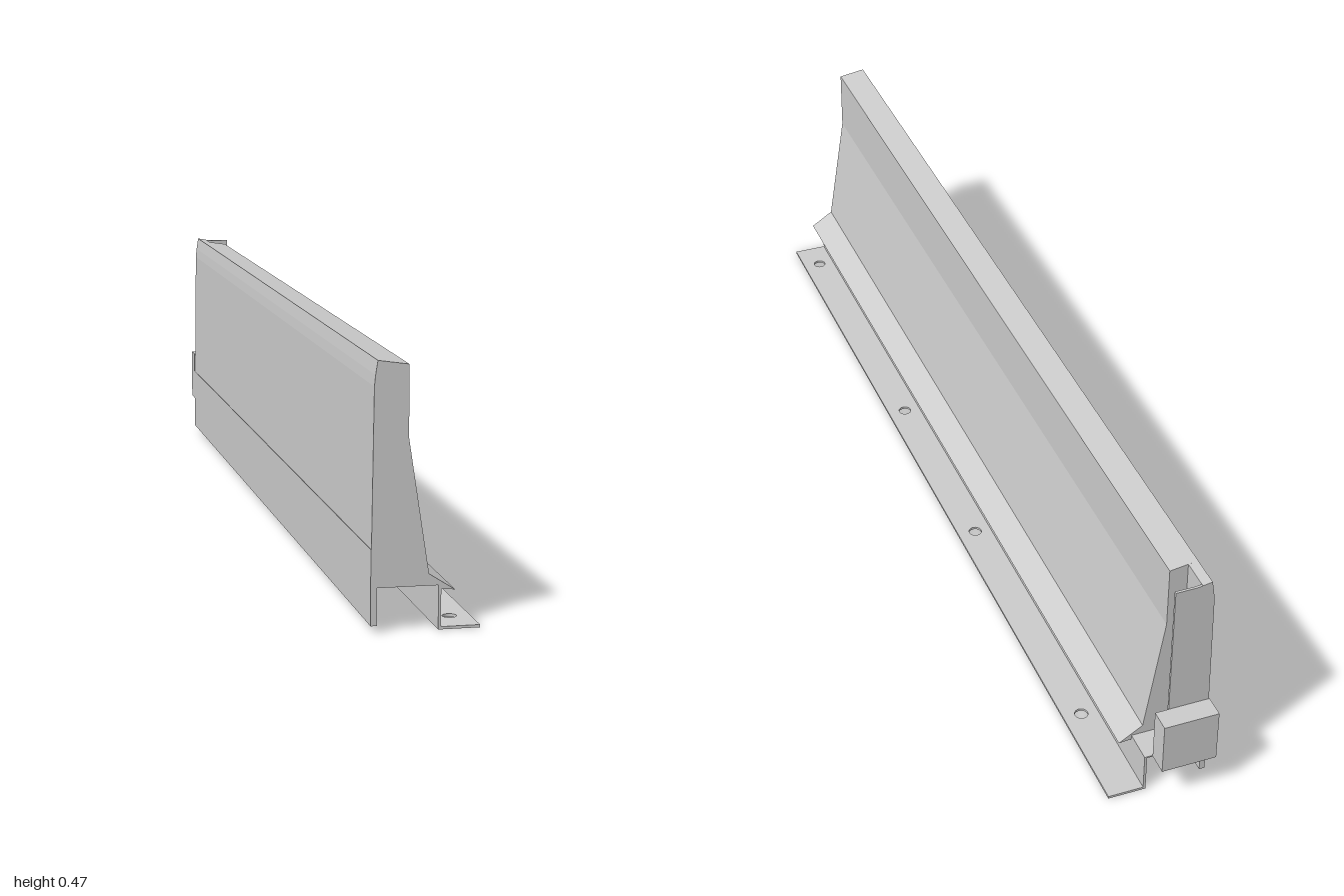
import * as THREE from 'three';

const FRONT = 1, NOTCH = -0.895, END = -0.957, BACK = -1;

export function createModel() {
  const group = new THREE.Group();
  const material = new THREE.MeshStandardMaterial({ color: 0xcccccc, flatShading: true });

  const add = (name, geometry) => {
    const mesh = new THREE.Mesh(geometry, material);
    mesh.name = name;
    group.add(mesh);
    return mesh;
  };
  // Extrudes an x/y outline between two z positions
  const profile = (name, points, z0, z1) => {
    const shape = new THREE.Shape(points.map(([x, y]) => new THREE.Vector2(x, y)));
    const geometry = new THREE.ExtrudeGeometry(shape, { depth: z1 - z0, bevelEnabled: false });
    return add(name, geometry.translate(0, 0, z0));
  };

  // Gently bowed outer face, from the top edge down to the skirt
  const outerFace = [[-0.087, 0.475], [-0.091, 0.45], [-0.093, 0.43], [-0.095, 0.29], [-0.097, 0.147], [-0.098, 0.147], [-0.098, 0.012]];

  // Main panel with sloped inner face, drip lip and hanging skirt
  profile('panel', [
    ...outerFace,
    [-0.087, 0.012], [-0.087, 0.08], [0.022, 0.08], [0.027, 0.072],
    [0.052, 0.07], [0.005, 0.1], [-0.032, 0.34], [-0.032, 0.467],
  ], NOTCH, FRONT);

  // Outer wall carried on past the notch
  profile('notchWall', [
    ...outerFace, [-0.087, 0.012], [-0.087, 0.08], [-0.068, 0.08], [-0.068, 0.472],
  ], END, NOTCH);

  // Thin plate closing the notch
  profile('endPlate', [
    [-0.087, 0.473], [-0.087, 0.08], [-0.016, 0.08], [-0.016, 0.47], [-0.055, 0.47],
  ], END, END + 0.005);

  // Block on the far end
  add('endBlock', new THREE.BoxGeometry(0.109, 0.11, END - BACK)
    .translate(-0.0435, 0.135, (END + BACK) / 2));

  // Bracket: shelf under the panel and upright web
  profile('bracketWeb', [
    [0.022, 0], [0.027, 0], [0.027, 0.082], [-0.087, 0.082], [-0.087, 0.079], [0.022, 0.079],
  ], END, FRONT);

  // Foot flange with screw holes, outlined in plan (shape y becomes -z)
  const foot = new THREE.Shape([
    [0.027, -FRONT], [0.097, -FRONT], [0.097, -END], [0.027, -END],
  ].map(([x, y]) => new THREE.Vector2(x, y)));
  for (const z of [-0.735, -0.15, 0.3, 0.93]) {
    foot.holes.push(new THREE.Path().absarc(0.06, -z, 0.013, 0, Math.PI * 2, true));
  }
  add('footFlange', new THREE.ExtrudeGeometry(foot, { depth: 0.005, bevelEnabled: false, curveSegments: 24 })
    .rotateX(-Math.PI / 2));

  return group;
}
